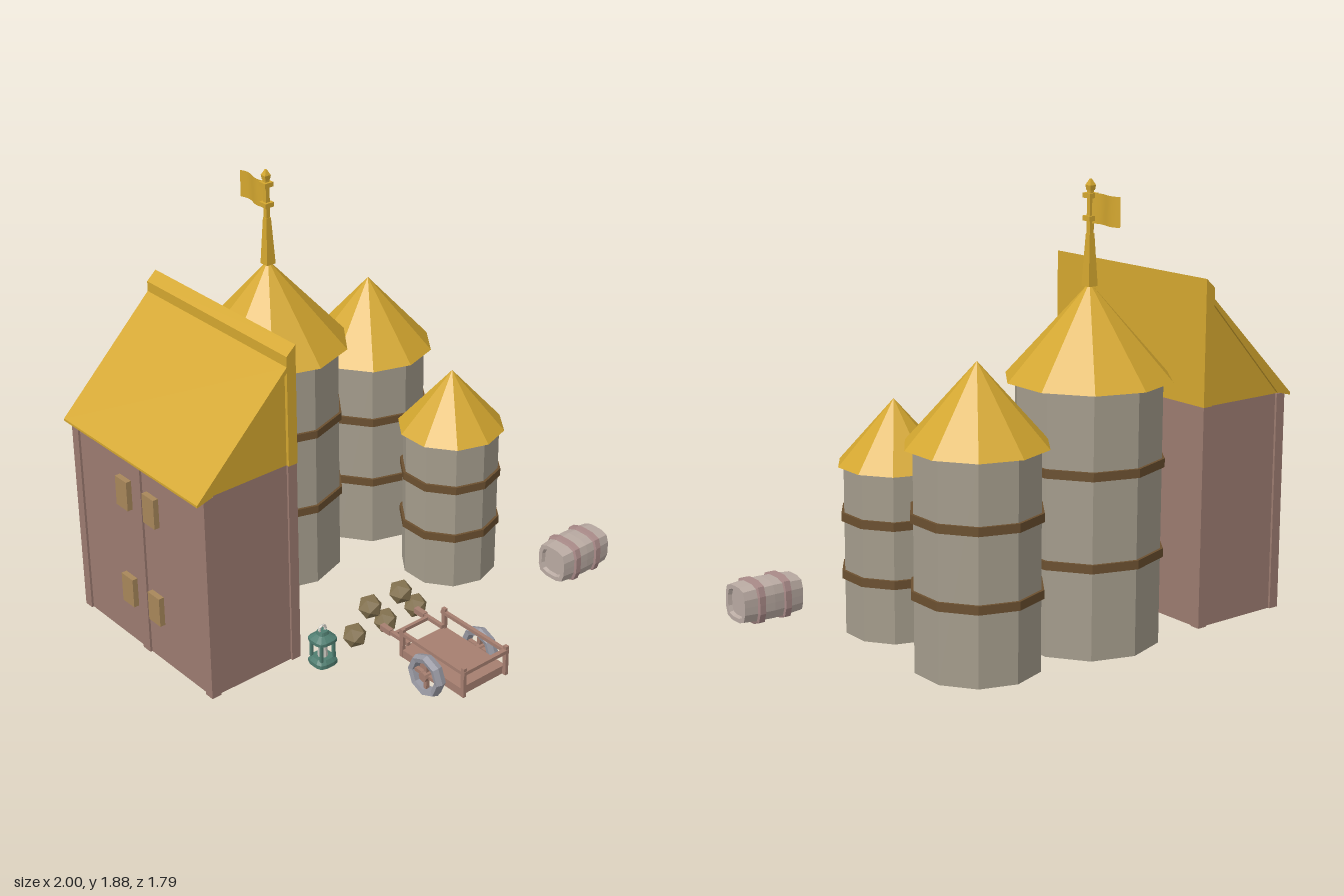
import * as THREE from 'three';

const mat = (color, flat = true) =>
  new THREE.MeshStandardMaterial({ color, flatShading: flat, side: THREE.DoubleSide });
const gold = mat(0xd4a72f), stone = mat(0xa49c8c), band = mat(0x6b5030), wall = mat(0x9c7b70),
  plate = mat(0xa8875a), wood = mat(0xa67f70), iron = mat(0x9a9aa4), stave = mat(0xb9aaa2),
  hoop = mat(0xa98a88), teal = mat(0x4f7d70), wax = mat(0xcfccc4), rock = mat(0x857350);

function add(parent, name, geo, material, x = 0, y = 0, z = 0) {
  const m = new THREE.Mesh(geo, material);
  m.name = name;
  m.position.set(x, y, z);
  parent.add(m);
  return m;
}

// box given by its min and max along each axis
function box(parent, name, material, x0, x1, y0, y1, z0, z1) {
  return add(parent, name, new THREE.BoxGeometry(x1 - x0, y1 - y0, z1 - z0), material,
    (x0 + x1) / 2, (y0 + y1) / 2, (z0 + z1) / 2);
}

function group(parent, name, x = 0, y = 0, z = 0) {
  const g = new THREE.Group();
  g.name = name;
  g.position.set(x, y, z);
  parent.add(g);
  return g;
}

// turned profile pushed out towards a rounded square
function squareLathe(profile, segments = 16) {
  const geo = new THREE.LatheGeometry(profile.map(p => new THREE.Vector2(...p)), segments);
  const pos = geo.attributes.position;
  for (let i = 0; i < pos.count; i++) {
    const x = pos.getX(i), z = pos.getZ(i), r = Math.hypot(x, z);
    if (r < 1e-6) continue;
    const f = Math.pow((x / r) ** 4 + (z / r) ** 4, -0.25);
    pos.setX(i, x * f);
    pos.setZ(i, z * f);
  }
  geo.computeVertexNormals();
  return geo;
}

function polygon(points) {
  return new THREE.Shape(points.map(p => new THREE.Vector2(...p)));
}

// ten-sided tower with two bands and a cone roof
function silo(parent, name, x, z, r, roofR, eave, top, bands) {
  const g = group(parent, name, x, 0, z);
  add(g, 'siloWall', new THREE.CylinderGeometry(r, r, eave, 10), stone, 0, eave / 2);
  add(g, 'siloRoof', new THREE.ConeGeometry(roofR, top - eave, 10), gold, 0, (top + eave) / 2);
  for (const y of bands)
    add(g, 'siloBand', new THREE.CylinderGeometry(r + 0.012, r + 0.012, 0.036, 10), band, 0, y);
}

function flagPole(parent) {
  const g = group(parent, 'flagPole', -0.08, 0, -0.55);
  const square = (name, r0, r1, y0, y1) => {
    const geo = new THREE.CylinderGeometry(r1 * Math.SQRT2, r0 * Math.SQRT2, y1 - y0, 4);
    add(g, name, geo.rotateY(Math.PI / 4), gold, 0, (y0 + y1) / 2);
  };
  square('poleBase', 0.023, 0.012, 1.46, 1.67);
  square('poleShaft', 0.01, 0.01, 1.67, 1.84);
  for (const y of [1.73, 1.82]) square('poleRing', 0.022, 0.022, y - 0.01, y + 0.01);
  square('poleCap', 0.012, 0.015, 1.84, 1.86);
  square('poleTip', 0.015, 0.003, 1.86, 1.885);
  // softly waving cloth
  const cloth = new THREE.PlaneGeometry(0.17, 0.12, 8, 1).rotateY(Math.PI / 2);
  const pos = cloth.attributes.position;
  for (let i = 0; i < pos.count; i++) pos.setX(i, 0.01 * Math.sin((pos.getZ(i) + 0.085) * 37));
  cloth.computeVertexNormals();
  add(g, 'flag', cloth, mat(0xd4a72f, false), 0, 1.77, -0.093);
}

function house(parent) {
  const g = group(parent, 'house');
  const z0 = -0.78, z1 = 0.15, zm = (z0 + z1) / 2;
  // hollow walls, open below
  const ring = polygon([[-0.955, -z1 + 0.01], [-0.508, -z1 + 0.01], [-0.508, -z0 - 0.01], [-0.955, -z0 - 0.01]]);
  ring.holes.push(polygon([[-0.935, -z1 + 0.03], [-0.935, -z0 - 0.03], [-0.528, -z0 - 0.03], [-0.528, -z1 + 0.03]]));
  add(g, 'walls', new THREE.ExtrudeGeometry(ring, { depth: 0.945, bevelEnabled: false }).rotateX(-Math.PI / 2), wall);
  // corner and middle posts
  for (const [x0, x1] of [[-0.965, -0.92], [-0.545, -0.5]])
    for (const [a, b] of [[z0, z0 + 0.045], [zm - 0.025, zm + 0.025], [z1 - 0.045, z1]])
      box(g, 'post', wall, x0, x1, 0, 0.945, a, b);
  // lean-to roof slab with a raised ridge and a straight back
  const slab = polygon([[-1, 0.93], [-0.925, 0.95], [-0.545, 1.365], [-0.545, 0.945], [-0.5, 0.945],
    [-0.5, 1.475], [-0.545, 1.435], [-0.545, 1.39], [-1, 0.94]]);
  add(g, 'roof', new THREE.ExtrudeGeometry(slab, { depth: z1 - z0 + 0.005, bevelEnabled: false }), gold, 0, 0, z0);
  const gable = polygon([[-0.955, 0.94], [-0.52, 0.94], [-0.52, 1.38], [-0.545, 1.37]]);
  add(g, 'gable', new THREE.ExtrudeGeometry(gable, { depth: z1 - z0 - 0.02, bevelEnabled: false }), gold, 0, 0, z0 + 0.01);
  // hinge plates beside the middle post
  for (const y of [0.26, 0.735])
    for (const s of [-1, 1])
      box(g, 'hingePlate', plate, -0.98, -0.95, y - 0.068, y + 0.068, zm + s * 0.095 - 0.04, zm + s * 0.095 + 0.04);
}

function barrel(parent) {
  const g = group(parent, 'barrel', 0.858, 0.093, 0.435);
  g.rotation.z = -Math.PI / 2;
  add(g, 'staves', squareLathe([[0, -0.125], [0.055, -0.125], [0.06, -0.142], [0.078, -0.142], [0.083, -0.08],
    [0.086, 0], [0.083, 0.08], [0.078, 0.142], [0.06, 0.142], [0.055, 0.125], [0, 0.125]]), stave);
  for (const y of [-0.063, 0.063])
    add(g, 'hoop', squareLathe([[0.08, -0.02], [0.093, -0.014], [0.093, 0.014], [0.08, 0.02]]), hoop, 0, y);
}

function lantern(parent) {
  const g = group(parent, 'lantern', -0.455, 0, 0.243);
  add(g, 'lanternBase', squareLathe([[0, 0], [0.052, 0], [0.052, 0.018], [0.04, 0.035], [0, 0.035]]), teal);
  add(g, 'candle', new THREE.CylinderGeometry(0.018, 0.022, 0.08, 8), wax, 0, 0.075);
  for (const x of [-0.033, 0.033])
    for (const z of [-0.033, 0.033])
      add(g, 'lanternPost', new THREE.BoxGeometry(0.012, 0.09, 0.012), teal, x, 0.075, z);
  add(g, 'lanternRoof', squareLathe([[0, 0.112], [0.052, 0.112], [0.052, 0.126], [0.024, 0.145],
    [0.02, 0.16], [0, 0.16]]), teal);
  add(g, 'carryRing', new THREE.TorusGeometry(0.017, 0.006, 6, 10), wax, 0, 0.168);
}

function cart(parent) {
  const g = group(parent, 'cart', -0.13, 0, 0);
  box(g, 'bed', wood, -0.125, 0.125, 0.08, 0.118, 0.51, 0.875);
  add(g, 'axle', new THREE.CylinderGeometry(0.014, 0.014, 0.3, 6).rotateZ(Math.PI / 2), wood, 0, 0.1, 0.7);
  box(g, 'frontRail', wood, -0.125, 0.125, 0.188, 0.205, 0.875, 0.895);
  box(g, 'handleBar', wood, -0.09, 0.09, 0.13, 0.146, 0.43, 0.445);
  for (const s of [-1, 1]) {
    const x = s * 0.118;
    box(g, 'sideRail', wood, x - 0.008, x + 0.008, 0.186, 0.202, 0.5, 0.89);
    box(g, 'frontPost', wood, x - 0.008, x + 0.008, 0.08, 0.22, 0.875, 0.893);
    box(g, 'rearPost', wood, x - 0.008, x + 0.008, 0.08, 0.215, 0.505, 0.525);
    // handles
    box(g, 'handleShaft', wood, s * 0.096 - 0.008, s * 0.096 + 0.008, 0.13, 0.147, 0.38, 0.53);
    box(g, 'handleGrip', wood, s * 0.096 - 0.012, s * 0.096 + 0.012, 0.126, 0.151, 0.36, 0.42);
    // eight-sided wheel with four spokes
    const w = group(g, 'wheel', s * 0.15, 0.1, 0.7);
    const rim = new THREE.LatheGeometry([[0.066, -0.02], [0.088, -0.025], [0.096, 0], [0.088, 0.025],
      [0.066, 0.02], [0.066, -0.02]].map(p => new THREE.Vector2(...p)), 8);
    add(w, 'rim', rim.rotateZ(Math.PI / 2), iron);
    add(w, 'hub', new THREE.CylinderGeometry(0.022, 0.022, 0.05, 8).rotateZ(Math.PI / 2), wood);
    add(w, 'spoke', new THREE.BoxGeometry(0.018, 0.14, 0.016), wood);
    add(w, 'spoke', new THREE.BoxGeometry(0.018, 0.016, 0.14), wood);
  }
}

export function createModel() {
  const root = new THREE.Group();
  root.name = 'farmyard';
  silo(root, 'tallSilo', -0.08, -0.55, 0.305, 0.345, 1.09, 1.475, [0.385, 0.76]);
  silo(root, 'middleSilo', 0.48, -0.55, 0.26, 0.293, 0.9, 1.23, [0.32, 0.63]);
  silo(root, 'smallSilo', 0.48, 0.01, 0.215, 0.238, 0.71, 0.98, [0.255, 0.5]);
  flagPole(root);
  house(root);
  barrel(root);
  lantern(root);
  cart(root);
  // rocks in a row, alternately low and high
  for (let i = 0; i < 5; i++) {
    const r = add(root, 'rock', new THREE.IcosahedronGeometry(0.055), rock, -0.278 + i * 0.087, i % 2 ? 0.163 : 0.055, 0.243);
    r.rotation.y = 0.3;
  }
  return root;
}
